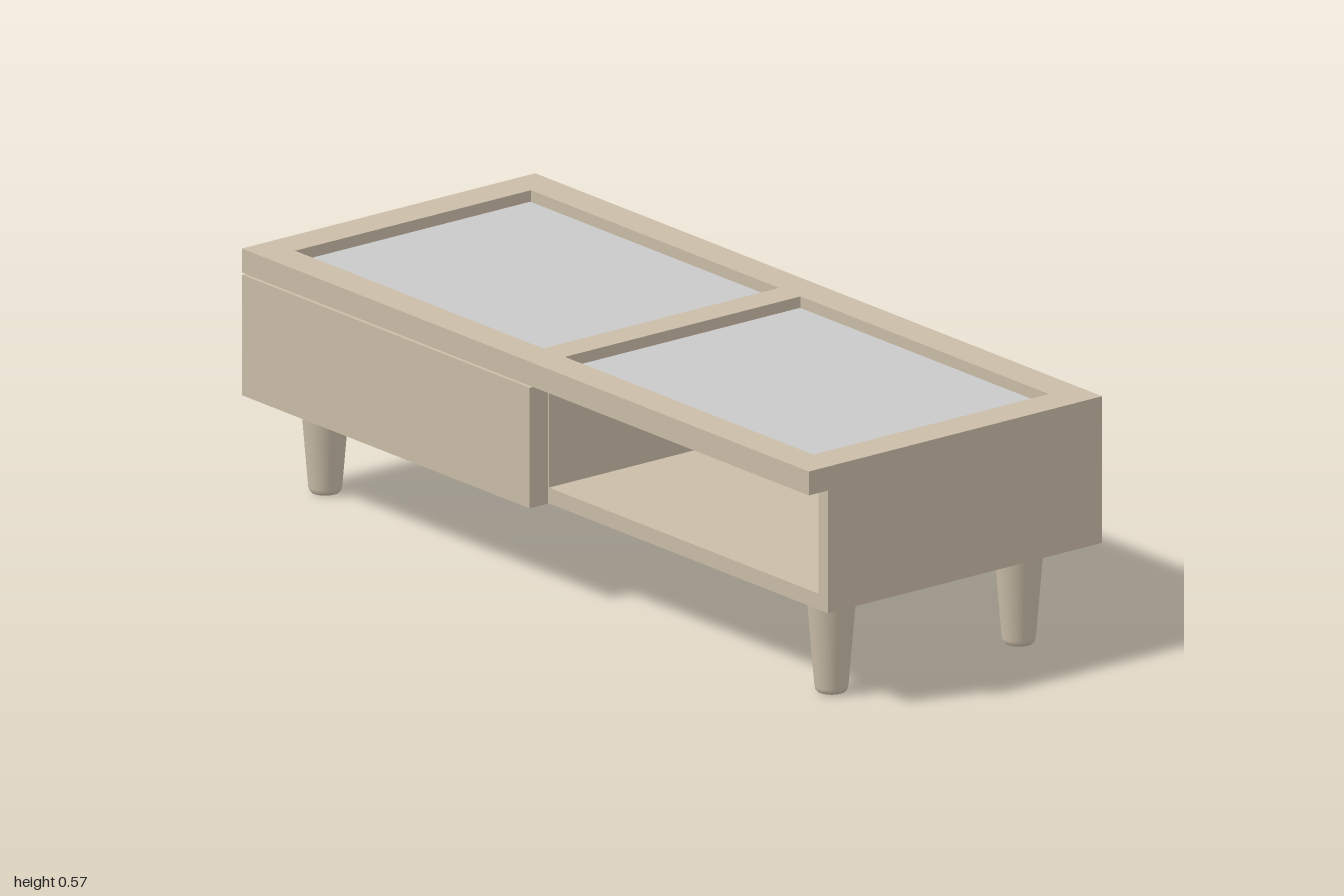
import * as THREE from 'three';

export function createModel() {
  const model = new THREE.Group();
  model.name = 'coffeeTable';

  const wood = new THREE.MeshStandardMaterial({ color: 0xcabda8 });
  wood.name = 'pale wood';
  const glass = new THREE.MeshStandardMaterial({ color: 0xc8c9c8 });
  glass.name = 'frosted glass';

  const add = (name, geometry, material = wood) => {
    const mesh = new THREE.Mesh(geometry, material);
    mesh.name = name;
    model.add(mesh);
    return mesh;
  };

  // Box given by its limits on each axis
  const box = (name, [x0, x1], [y0, y1], [z0, z1], material = wood) =>
    add(name, new THREE.BoxGeometry(x1 - x0, y1 - y0, z1 - z0), material)
      .position.set((x0 + x1) / 2, (y0 + y1) / 2, (z0 + z1) / 2);

  const BACK = -0.418, FRONT = 0.418, RECESS = 0.363;
  const BASE = 0.23, FLOOR = 0.267, UNDER = 0.517, LEDGE = 0.535, TOP = 0.573;

  // Frame layer with two rectangular openings; inset shrinks the openings
  const frameLayer = (name, y0, y1, inset) => {
    const rect = (target, x0, x1, z) => {
      target.moveTo(x0, -z);
      target.lineTo(x1, -z);
      target.lineTo(x1, z);
      target.lineTo(x0, z);
      target.closePath();
      return target;
    };
    const shape = rect(new THREE.Shape(), -1, 1, FRONT);
    for (const [x0, x1] of [[-0.914, -0.038], [0.038, 0.914]]) {
      shape.holes.push(rect(new THREE.Path(), x0 + inset, x1 - inset, 0.336 - inset));
    }
    const geometry = new THREE.ExtrudeGeometry(shape, { depth: y1 - y0, bevelEnabled: false });
    geometry.rotateX(-Math.PI / 2);
    add(name, geometry).position.y = y0;
  };

  // Table top: frame over a narrow ledge that carries the panes
  frameLayer('topLedge', UNDER, LEDGE, 0.012);
  frameLayer('topFrame', LEDGE, TOP, 0);
  box('leftPane', [0.046, 0.906], [LEDGE, 0.55], [-0.328, 0.328], glass);
  box('rightPane', [-0.906, -0.046], [LEDGE, 0.55], [-0.328, 0.328], glass);

  // Cabinet: one half closed behind a drawer, the other open right through
  box('bottomPanel', [-1, 1], [BASE, FLOOR], [BACK, RECESS]);
  box('leftSide', [0.966, 1], [FLOOR, UNDER], [BACK, RECESS]);
  box('rightSide', [-1, -0.966], [FLOOR, UNDER], [BACK, RECESS]);
  box('divider', [-0.02, 0.015], [FLOOR, UNDER], [BACK, RECESS]);
  box('backPanel', [-0.966, -0.02], [FLOOR, UNDER], [BACK, BACK + 0.035]);
  box('drawerFront', [-1, 0.015], [BASE, 0.512], [RECESS + 0.002, FRONT]);

  // Tapered round legs with softened feet
  const profile = [[0, 0], [0.026, 0], [0.032, 0.002], [0.036, 0.007], [0.038, 0.015], [0.056, BASE]]
    .map(([r, y]) => new THREE.Vector2(r, y));
  const legGeometry = new THREE.LatheGeometry(profile, 32);
  for (const [sx, side] of [[1, 'Left'], [-1, 'Right']]) {
    for (const [sz, end] of [[1, 'front'], [-1, 'back']]) {
      add(end + side + 'Leg', legGeometry).position.set(sx * 0.893, 0, sz * 0.267);
    }
  }

  return model;
}
